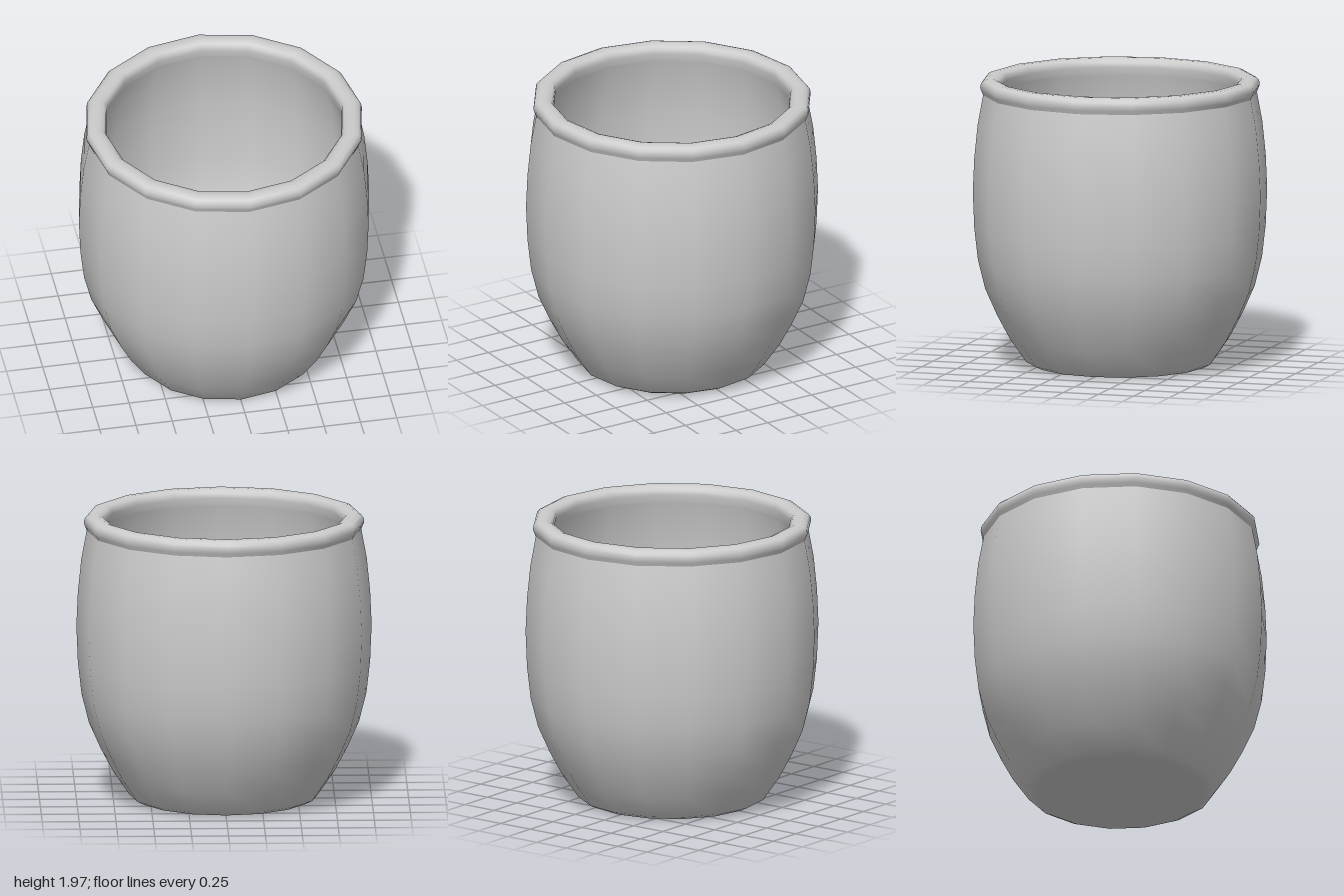
import * as THREE from 'three';

const SIDES = 16;
const material = new THREE.MeshStandardMaterial({ color: 0xcccccc });

// Revolves a profile of [radius, height] pairs around the y axis
function revolve(name, profile) {
  const points = profile.map(([r, y]) => new THREE.Vector2(r, y));
  const mesh = new THREE.Mesh(new THREE.LatheGeometry(points, SIDES), material);
  mesh.name = name;
  return mesh;
}

export function createModel() {
  const group = new THREE.Group();
  group.name = 'cup';

  // Flat base and bulging outer wall
  group.add(revolve('outerWall', [
    [0, 0], [0.54, 0], [0.59, 0.005], [0.64, 0.03], [0.75, 0.19], [0.835, 0.35],
    [0.915, 0.53], [0.965, 0.73], [0.99, 0.95], [1, 1.2], [0.99, 1.43],
    [0.967, 1.66], [0.93, 1.86],
  ]));

  // Rounded lip, from the outer wall over the top to the inner wall
  group.add(revolve('rim', [
    [0.93, 1.86], [0.94, 1.885], [0.95, 1.91], [0.945, 1.94], [0.93, 1.958], [0.9, 1.97],
    [0.86, 1.97], [0.83, 1.958], [0.815, 1.94], [0.81, 1.91], [0.82, 1.86],
  ]));

  // Hollow inside and floor
  group.add(revolve('innerWall', [
    [0.82, 1.86], [0.87, 1.66], [0.893, 1.43], [0.9, 1.2], [0.89, 0.95],
    [0.866, 0.74], [0.82, 0.56], [0.745, 0.39], [0.665, 0.24], [0.59, 0.13],
    [0.54, 0.1], [0, 0.1],
  ]));

  return group;
}
